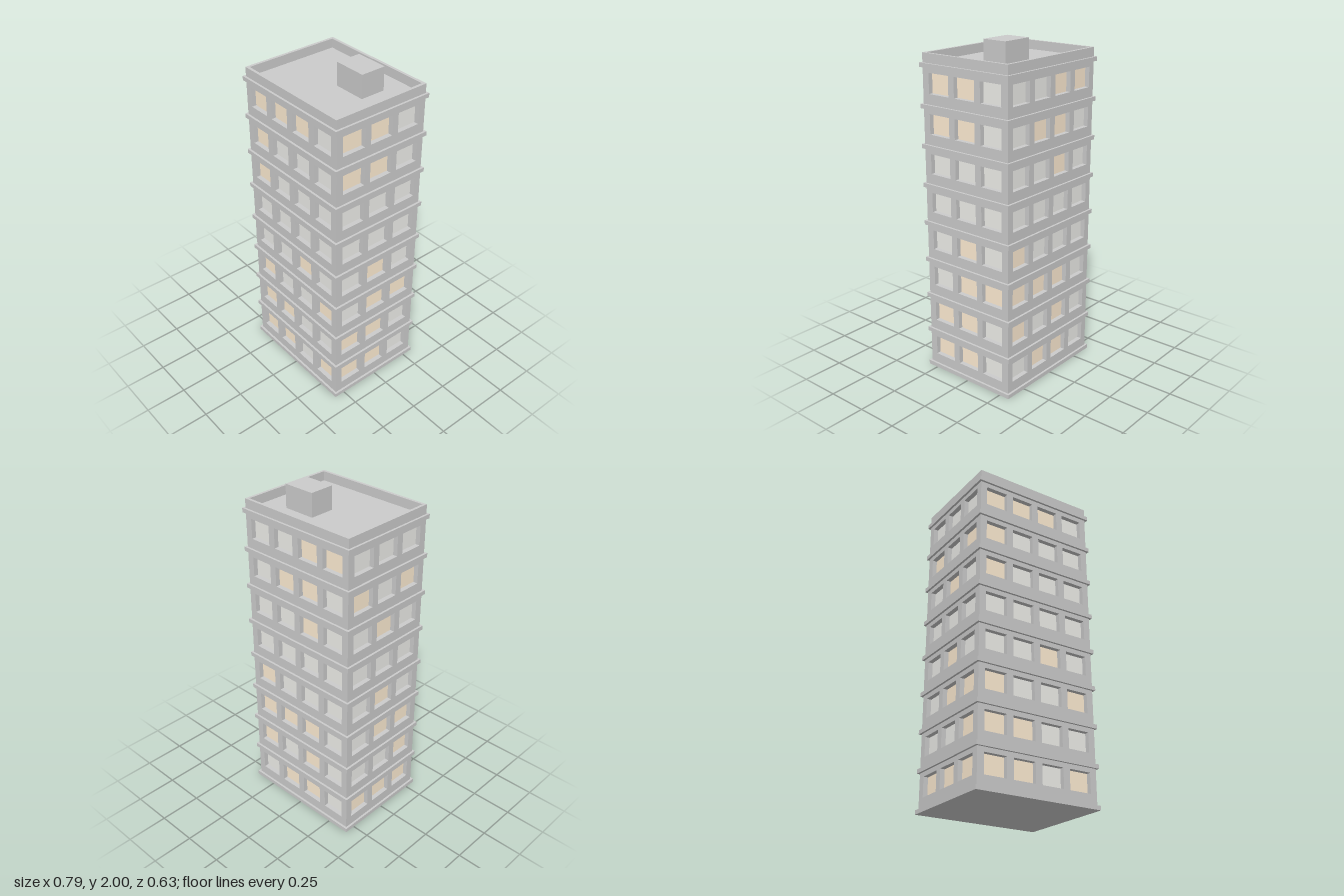
import * as THREE from 'three';

const FLOORS = 8, PITCH = 0.2297, SLAB = 0.025;
const HX = 0.38, HZ = 0.304;          // half size of the walls
const WALL = 0.03;                    // wall thickness, also the window recess
const SILL = 0.085, WIN_H = 0.117;

const grey = new THREE.MeshStandardMaterial({ color: 0xcccccc });
const dimGlass = new THREE.MeshStandardMaterial({ color: 0xeeeeea });
const litGlass = new THREE.MeshStandardMaterial({ color: 0xffedd3 });

// Lit windows per facade, top floor first, left to right seen from outside
const FACADES = [
  { name: 'front', turn: 0, out: HZ, half: HX, pitch: 0.18, win: 0.138,
    lit: ['1110', '1000', '1000', '0000', '0010', '1001', '1100', '1101'] },
  { name: 'back', turn: Math.PI, out: HZ, half: HX, pitch: 0.18, win: 0.138,
    lit: ['0011', '0110', '0010', '0000', '1000', '1110', '1010', '0110'] },
  { name: 'right', turn: Math.PI / 2, out: HX, half: HZ - WALL, pitch: 0.187, win: 0.146,
    lit: ['110', '110', '000', '000', '010', '011', '110', '110'] },
  { name: 'left', turn: -Math.PI / 2, out: HX, half: HZ - WALL, pitch: 0.187, win: 0.146,
    lit: ['000', '101', '010', '000', '010', '011', '001', '111'] },
];

function box(name, w, h, d, x, y, z) {
  const mesh = new THREE.Mesh(new THREE.BoxGeometry(w, h, d), grey);
  mesh.name = name;
  mesh.position.set(x, y, z);
  return mesh;
}

function trace(path, x0, y0, x1, y1) {
  path.moveTo(x0, y0);
  path.lineTo(x1, y0);
  path.lineTo(x1, y1);
  path.lineTo(x0, y1);
  path.closePath();
  return path;
}

// One wall with window openings on all floors, and panes set behind it
function facade({ name, turn, out, half, pitch, win, lit }) {
  const group = new THREE.Group();
  group.name = name + 'Facade';
  const wallShape = trace(new THREE.Shape(), -half, SLAB, half, FLOORS * PITCH);
  const paneGeo = new THREE.PlaneGeometry(win, WIN_H);
  for (let f = 0; f < FLOORS; f++) {
    const row = lit[FLOORS - 1 - f];
    const y = SILL + f * PITCH;
    for (let i = 0; i < row.length; i++) {
      const x = (i - (row.length - 1) / 2) * pitch;
      wallShape.holes.push(trace(new THREE.Path(), x - win / 2, y, x + win / 2, y + WIN_H));
      const pane = new THREE.Mesh(paneGeo, row[i] === '1' ? litGlass : dimGlass);
      pane.name = row[i] === '1' ? 'litWindow' : 'window';
      pane.position.set(x, y + WIN_H / 2, out - WALL + 0.002);
      group.add(pane);
    }
  }
  const wall = new THREE.Mesh(
    new THREE.ExtrudeGeometry(wallShape, { depth: WALL, bevelEnabled: false }), grey);
  wall.name = name + 'Wall';
  wall.position.z = out - WALL;
  group.add(wall);
  group.rotation.y = turn;
  return group;
}

export function createModel() {
  const model = new THREE.Group();
  model.name = 'apartmentBlock';

  for (const f of FACADES) model.add(facade(f));

  // Floor slabs that project as bands; the last one is the roof
  for (let i = 0; i <= FLOORS; i++) {
    const name = i === 0 ? 'baseSlab' : i === FLOORS ? 'roofSlab' : 'floorBand';
    model.add(box(name, 0.786, SLAB, 0.634, 0, i * PITCH + SLAB / 2, 0));
  }

  // Parapet around the roof
  const roofY = FLOORS * PITCH + SLAB, parH = 1.917 - roofY, parT = 0.017;
  for (const s of [-1, 1]) {
    model.add(box('parapetLong', 2 * HX, parH, parT, 0, roofY + parH / 2, s * (HZ - parT / 2)));
    model.add(box('parapetShort', parT, parH, 2 * (HZ - parT), s * (HX - parT / 2), roofY + parH / 2, 0));
  }

  // Rooftop plant room
  const roomH = 2 - roofY;
  model.add(box('roofRoom', 0.197, roomH, 0.152, 0.121, roofY + roomH / 2, -0.077));

  return model;
}
